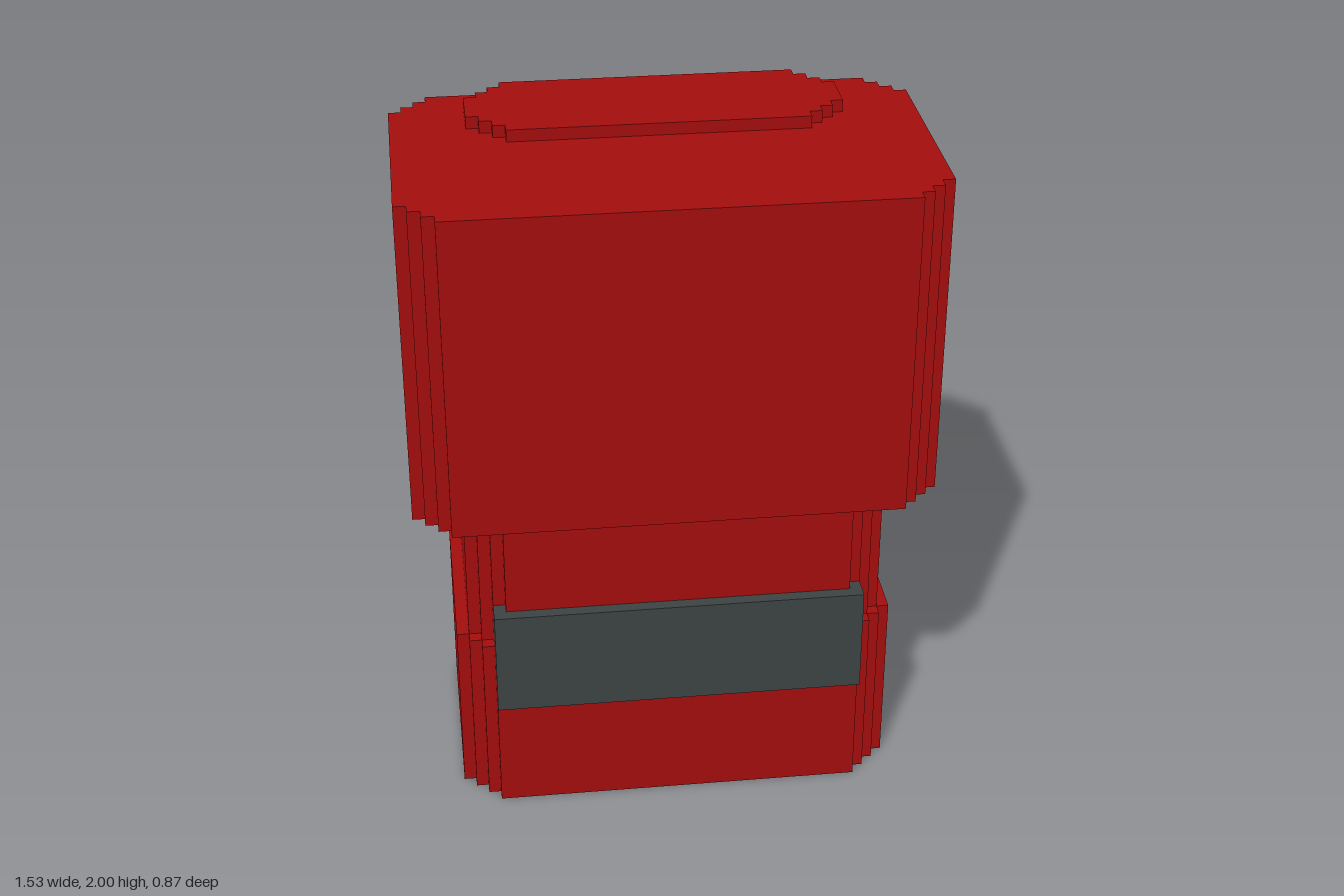
import * as THREE from 'three';

const U = 2 / 55; // one stair step

// Upright block whose four vertical corners are cut back in three stair steps (sizes in steps)
function steppedBlock(name, material, halfX, y0, y1, z0, z1) {
  const midZ = (z0 + z1) / 2, halfZ = (z1 - z0) / 2;
  const quarter = [];
  for (let i = 0; i <= 3; i++) {
    quarter.push([halfX - i, halfZ - 3 + i]);
    if (i < 3) quarter.push([halfX - i - 1, halfZ - 3 + i]);
  }
  const back = [...quarter].reverse();
  const outline = [
    ...quarter,
    ...back.map(([x, z]) => [-x, z]),
    ...quarter.map(([x, z]) => [-x, -z]),
    ...back.map(([x, z]) => [x, -z]),
  ];
  const shape = new THREE.Shape(outline.map(([x, z]) => new THREE.Vector2(x * U, z * U)));
  const geometry = new THREE.ExtrudeGeometry(shape, { depth: (y1 - y0) * U, bevelEnabled: false });
  geometry.rotateX(-Math.PI / 2);
  geometry.translate(0, y0 * U, midZ * U);
  const mesh = new THREE.Mesh(geometry, material);
  mesh.name = name;
  return mesh;
}

export function createModel() {
  const red = new THREE.MeshStandardMaterial({ color: 0xa30d0d });
  red.name = 'red';
  const grey = new THREE.MeshStandardMaterial({ color: 0x3c4242 });
  grey.name = 'dark grey';

  const model = new THREE.Group();
  model.name = 'steppedBody';

  // Stacked body
  model.add(
    steppedBlock('base', red, 18, 0, 15, -11, 11),
    steppedBlock('neck', red, 17, 15, 27, -11, 11),
    steppedBlock('upperBlock', red, 21, 27, 54, -12, 12),
  );

  // Rear insert showing above and below the upper block
  model.add(
    steppedBlock('topPlate', red, 15, 54, 55, -12, -2),
    steppedBlock('rearLip', red, 15, 26, 27, -12, -2),
  );

  // Front band
  const band = new THREE.Mesh(new THREE.BoxGeometry(30 * U, 9 * U, 2 * U), grey);
  band.name = 'frontBand';
  band.position.set(0, 14.5 * U, 11 * U);
  model.add(band);

  return model;
}
